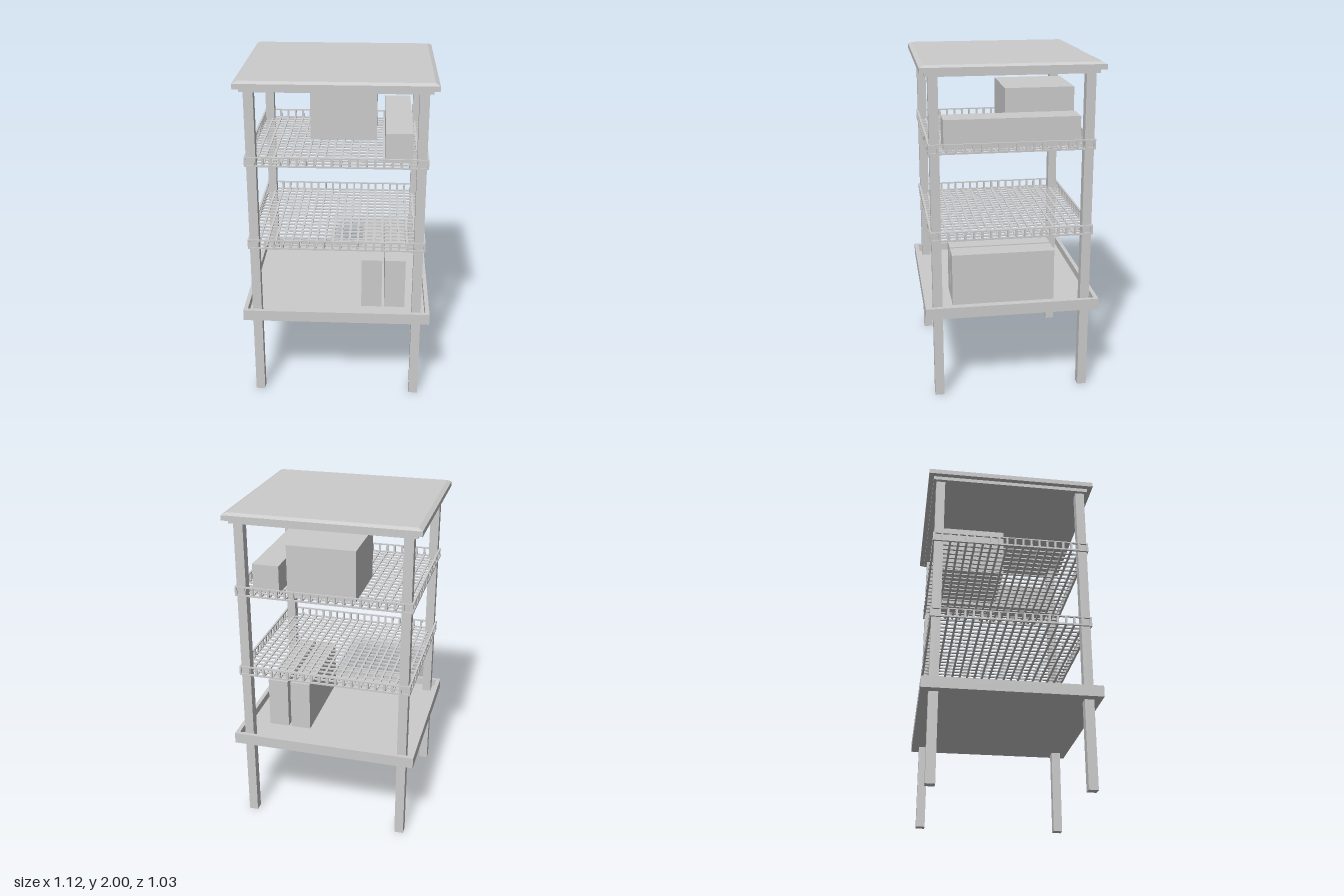
import * as THREE from 'three';
import { mergeGeometries } from 'three/addons/utils/BufferGeometryUtils.js';

const material = new THREE.MeshStandardMaterial({ color: 0xcccccc });

// Box geometry from min/max extents
function box(x0, x1, y0, y1, z0, z1) {
  return new THREE.BoxGeometry(x1 - x0, y1 - y0, z1 - z0)
    .translate((x0 + x1) / 2, (y0 + y1) / 2, (z0 + z1) / 2);
}

// Box centred on the y axis, with half sizes hx and hz
const slab = (hx, hz, y0, y1) => box(-hx, hx, y0, y1, -hz, hz);

function part(name, ...geometries) {
  const mesh = new THREE.Mesh(mergeGeometries(geometries), material);
  mesh.name = name;
  return mesh;
}

// Four walls of a rectangular ring
function ring(hx, hz, t, y0, y1) {
  const walls = [];
  for (const s of [-1, 1]) {
    walls.push(box(-hx, hx, y0, y1, s * (hz - t / 2) - t / 2, s * (hz - t / 2) + t / 2));
    walls.push(box(s * (hx - t / 2) - t / 2, s * (hx - t / 2) + t / 2, y0, y1, -hz + t, hz - t));
  }
  return walls;
}

// Wire shelf: crossed floor bars, and a railing of upright slats between two rails
function wireShelf(name, y) {
  const hx = 0.52, hz = 0.477, height = 0.058, t = 0.012, half = 0.0065;
  const nx = 21, nz = 19;
  const floor = [], slats = [];
  for (let i = 0; i <= nx; i++) {
    const x = (hx - half) * (2 * i / nx - 1);
    floor.push(box(x - half, x + half, y + 0.002, y + 0.01, -hz + t, hz - t));
    for (const s of [-1, 1]) {
      const z = s * (hz - t / 2);
      slats.push(box(x - half, x + half, y, y + height, z - 0.005, z + 0.005));
    }
  }
  for (let i = 0; i <= nz; i++) {
    const z = (hz - half) * (2 * i / nz - 1);
    floor.push(box(-hx + t, hx - t, y + 0.001, y + 0.009, z - half, z + half));
    for (const s of [-1, 1]) {
      const x = s * (hx - t / 2);
      slats.push(box(x - 0.005, x + 0.005, y, y + height, z - half, z + half));
    }
  }
  const group = new THREE.Group();
  group.name = name;
  group.add(
    part('shelfMesh', ...floor),
    part('railingSlats', ...slats),
    part('shelfRails', ...ring(hx, hz, t, y, y + 0.007), ...ring(hx, hz, t, y + height - 0.007, y + height))
  );
  return group;
}

// Slab whose top face is drawn in on all sides
function bevelledSlab(hx, hz, y0, y1, inset) {
  const g = slab(hx, hz, y0, y1);
  const p = g.attributes.position;
  for (let i = 0; i < p.count; i++) {
    if (p.getY(i) > (y0 + y1) / 2) {
      p.setX(i, Math.sign(p.getX(i)) * (hx - inset));
      p.setZ(i, Math.sign(p.getZ(i)) * (hz - inset));
    }
  }
  g.computeVertexNormals();
  return g;
}

export function createModel() {
  const model = new THREE.Group();
  model.name = 'shelfUnit';

  // Corner posts
  for (const sx of [-1, 1]) for (const sz of [-1, 1]) {
    const post = part('post', slab(0.0275, 0.0275, 0, 1.94));
    post.position.set(sx * 0.481, 0, sz * 0.441);
    model.add(post);
  }

  // Tray-shaped bottom shelf with a raised rim
  model.add(part('bottomTray', slab(0.56, 0.516, 0.525, 0.545), ...ring(0.56, 0.516, 0.025, 0.545, 0.592)));

  // Wire shelves
  model.add(wireShelf('lowerWireShelf', 0.987), wireShelf('upperWireShelf', 1.5));

  // Stepped top with a bevelled edge
  model.add(part('top',
    slab(0.53, 0.486, 1.935, 1.958),
    slab(0.56, 0.516, 1.958, 1.988),
    bevelledSlab(0.56, 0.516, 1.988, 2, 0.025)));

  // Stored boxes
  model.add(
    part('uprightBox', box(0.147, 0.272, 0.545, 0.861, -0.272, 0.345)),
    part('uprightBox', box(0.289, 0.414, 0.545, 0.861, -0.272, 0.345)),
    part('largeBox', box(-0.181, 0.224, 1.51, 1.812, -0.415, 0)),
    part('longBox', box(0.275, 0.433, 1.51, 1.678, -0.408, 0.383)));

  return model;
}
